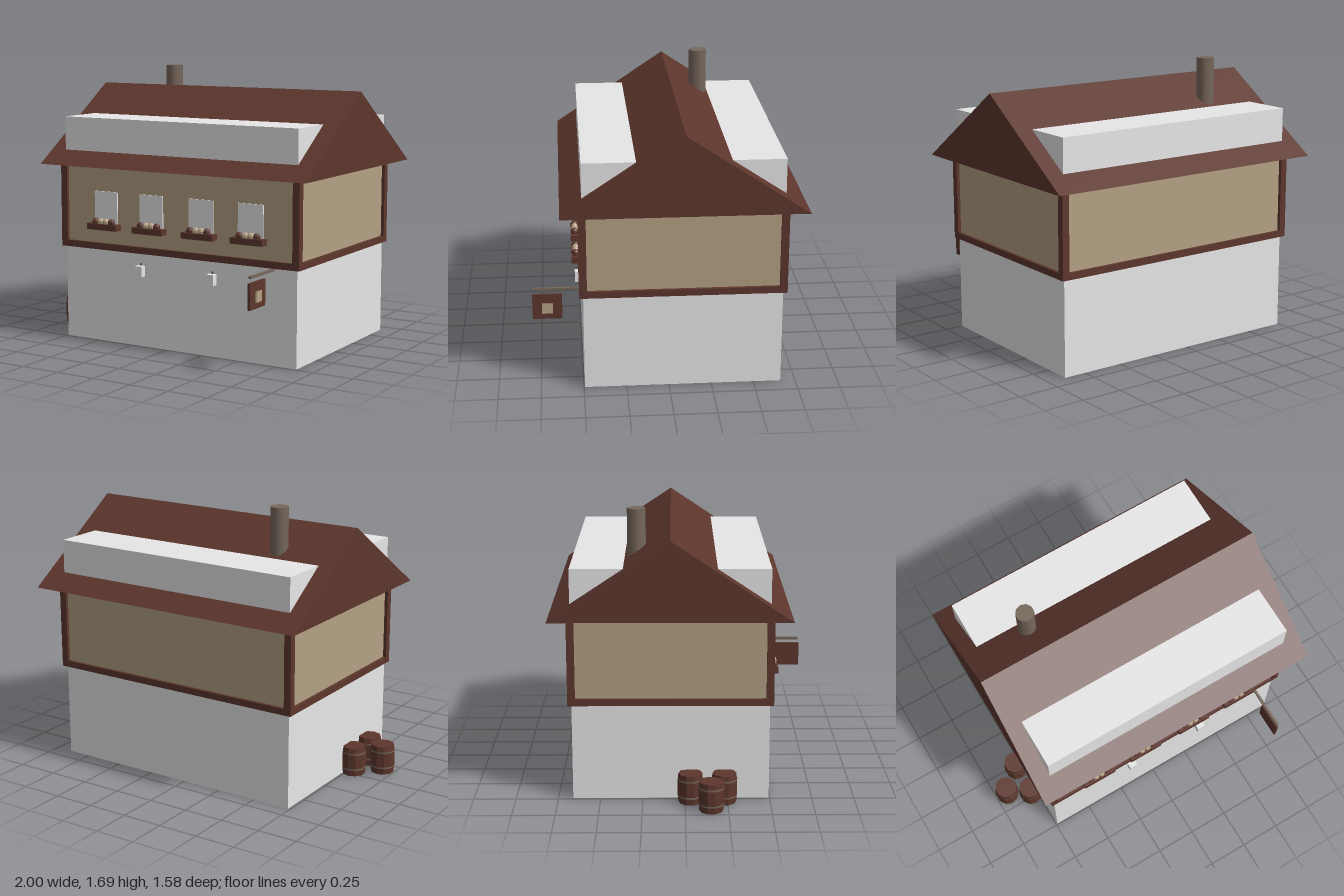
import * as THREE from 'three';

const mat = (name, color, flatShading) =>
  Object.assign(new THREE.MeshStandardMaterial({ color }), { name, flatShading });

export function createModel() {
  const plaster = mat('plaster', 0xe7e7e7, true);
  const tan = mat('tan', 0xb4a183, true);
  const wood = mat('wood', 0x5d362d, true);
  const floorWood = mat('floorWood', 0x95704f, true);
  const metal = mat('metal', 0x76675b, false);

  const model = new THREE.Group();
  model.name = 'inn';

  const add = (parent, name, geometry, material, x = 0, y = 0, z = 0) => {
    const mesh = new THREE.Mesh(geometry, material);
    mesh.name = name;
    mesh.position.set(x, y, z);
    parent.add(mesh);
    return mesh;
  };
  // Box given by its minimum and maximum on each axis
  const block = (parent, name, material, x0, x1, y0, y1, z0, z1) =>
    add(parent, name, new THREE.BoxGeometry(x1 - x0, y1 - y0, z1 - z0), material,
      (x0 + x1) / 2, (y0 + y1) / 2, (z0 + z1) / 2);
  const group = (name, x = 0, y = 0, z = 0) => {
    const g = new THREE.Group();
    g.name = name;
    g.position.set(x, y, z);
    model.add(g);
    return g;
  };

  // Main body, rising through the roof as long dormers
  const L = -0.74, R = 0.89, B = -0.662, F = 0.495;
  block(model, 'body', plaster, L, R, 0.002, 1.39, B, F);
  // Floor boards under the body
  block(model, 'floor', floorWood, L + 0.03, R - 0.03, 0, 0.008, B + 0.03, F - 0.03);
  // Upper storey infill just proud of the body
  block(model, 'upperWalls', tan, L - 0.002, R + 0.002, 0.6, 1.1, B - 0.002, F + 0.002);

  // Timber frame
  const frame = group('timberFrame');
  const t = 0.022;
  for (const x of [L, R])
    for (const z of [B, F])
      block(frame, 'cornerPost', wood, x - t, x + t, 0.585, 1.11, z - t, z + t);
  for (const z of [B, F])
    block(frame, 'sillBeam', wood, L - t, R + t, 0.58, 0.62, z - t + 0.001, z + t - 0.001);
  for (const x of [L, R])
    block(frame, 'sideBeam', wood, x - t + 0.001, x + t - 0.001, 0.58, 0.62, B, F);

  // Solid gabled roof with the ridge along x
  const gable = new THREE.Shape();
  gable.moveTo(-0.62, 1.1);
  gable.lineTo(0.79, 1.1);
  gable.lineTo(0.083, 1.57);
  gable.closePath();
  const roofGeometry = new THREE.ExtrudeGeometry(gable, { depth: 1.842, bevelEnabled: false });
  roofGeometry.rotateY(Math.PI / 2);
  add(model, 'roof', roofGeometry, wood, -0.842);

  // Chimney pipe
  add(model, 'chimney', new THREE.CylinderGeometry(0.055, 0.055, 0.4, 10), metal, -0.433, 1.487, -0.283);

  // Windows, each with a flower box
  const flowerColors = [wood, tan, tan, wood];
  for (const x of [-0.433, -0.102, 0.25, 0.586]) {
    const g = group('window', x, 0, F);
    block(g, 'windowPane', plaster, -0.083, 0.085, 0.72, 0.942, 0, 0.009);
    block(g, 'flowerBox', wood, -0.108, 0.108, 0.708, 0.745, 0, 0.06);
    flowerColors.forEach((material, i) =>
      add(g, 'flower', new THREE.SphereGeometry(0.022, 8, 6), material, (i - 1.5) * 0.039, 0.757, 0.035));
  }

  // Wall lanterns
  for (const x of [-0.178, 0.33]) {
    const g = group('lantern', x, 0, F);
    block(g, 'lanternGlass', plaster, -0.025, 0.025, 0.44, 0.505, 0, 0.04);
    block(g, 'lanternHook', metal, -0.005, 0.005, 0.505, 0.52, 0, 0.008);
  }

  // Hanging sign on a bracket
  const sign = group('sign', 0.742, 0, 0);
  block(sign, 'signBracket', metal, -0.008, 0.008, 0.565, 0.58, F, 0.782);
  block(sign, 'signBoard', wood, -0.008, 0.008, 0.386, 0.54, 0.616, 0.79);
  block(sign, 'signPanel', tan, 0.008, 0.016, 0.422, 0.484, 0.67, 0.734);

  // Barrels beside the wall, with hoops
  const profile = [[0, 0], [0.07, 0], [0.075, 0.05], [0.075, 0.13], [0.07, 0.178], [0, 0.178]]
    .map(([r, y]) => new THREE.Vector2(r, y));
  for (const [x, z] of [[-0.925, 0.15], [-0.79, 0.03], [-0.79, 0.23]]) {
    const g = group('barrel', x, 0, z);
    add(g, 'staves', new THREE.LatheGeometry(profile, 10), wood);
    for (const y of [0.043, 0.143])
      add(g, 'hoop', new THREE.CylinderGeometry(0.076, 0.076, 0.01, 10, 1, true), metal, 0, y, 0);
  }

  return model;
}
